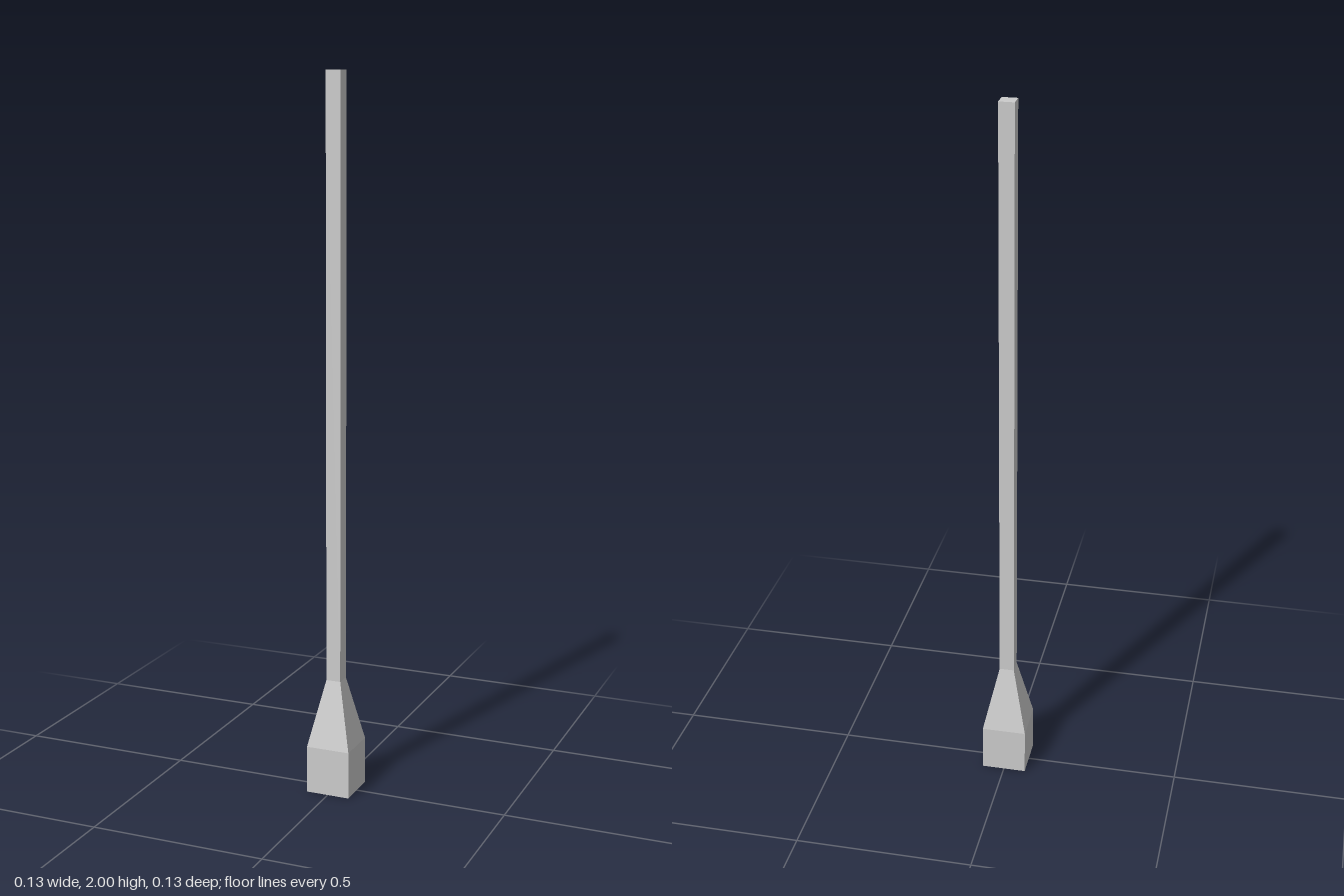
import * as THREE from 'three';

// Square section from a bottom to a top half-width, built as a four-sided lathe.
function squareSection(name, profile) {
  const points = profile.map(([half, y]) => new THREE.Vector2(half * Math.SQRT2, y));
  const geometry = new THREE.LatheGeometry(points, 4, Math.PI / 4);
  const material = new THREE.MeshStandardMaterial({ color: 0xcccccc, flatShading: true });
  const mesh = new THREE.Mesh(geometry, material);
  mesh.name = name;
  return mesh;
}

export function createModel() {
  const group = new THREE.Group();
  group.name = 'squarePost';

  const baseHalf = 0.063, shaftHalf = 0.021;
  const baseTop = 0.135, taperTop = 0.325, height = 2;

  // Square foot, closed underneath
  group.add(squareSection('base', [[0, 0], [baseHalf, 0], [baseHalf, baseTop]]));
  // Sloping shoulder between foot and shaft
  group.add(squareSection('taper', [[baseHalf, baseTop], [shaftHalf, taperTop]]));
  // Long slender shaft, closed on top
  group.add(squareSection('shaft', [[shaftHalf, taperTop], [shaftHalf, height], [0, height]]));

  return group;
}
